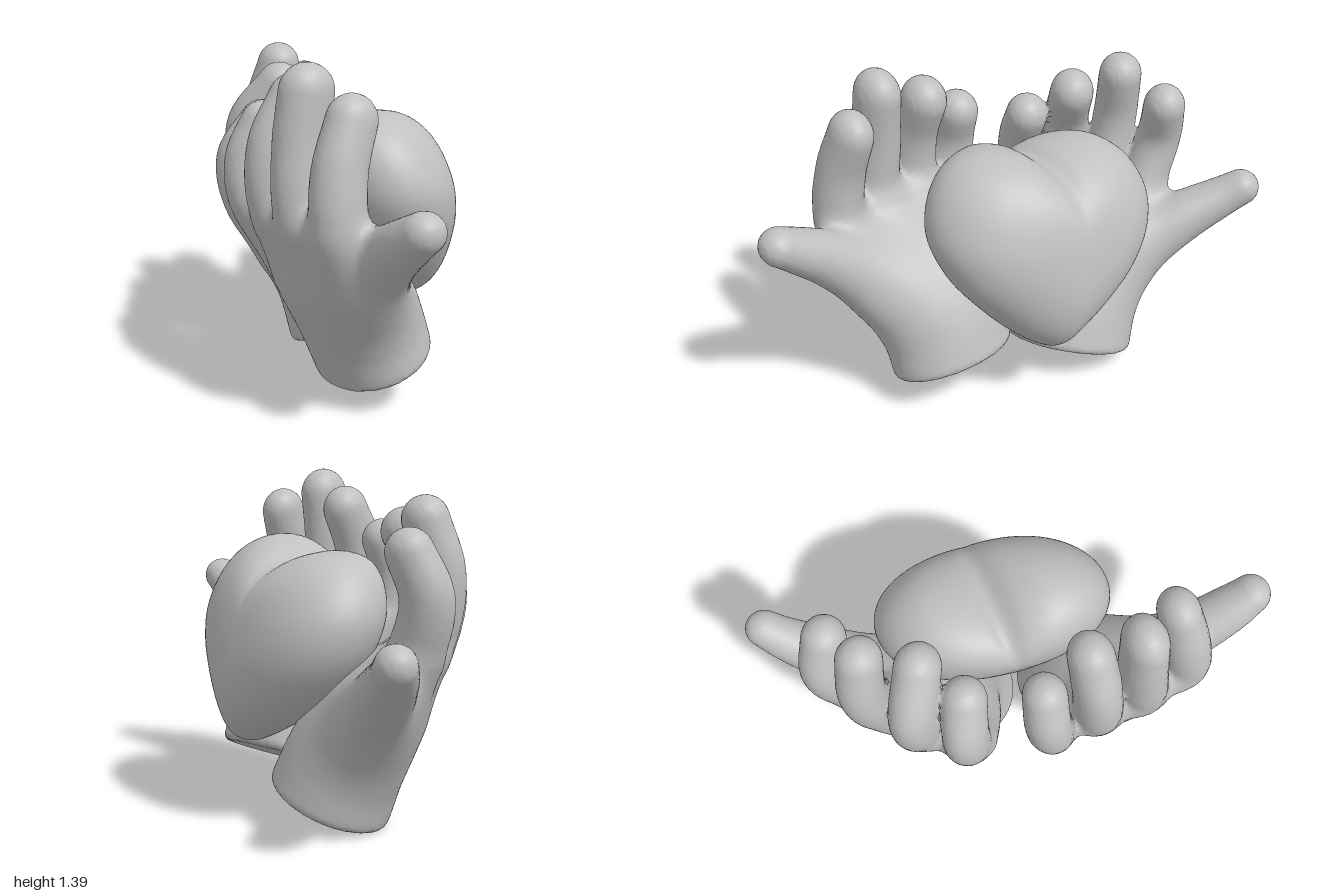
import * as THREE from 'three';

const CELL = 0.015;
const clay = new THREE.MeshStandardMaterial({ color: 0xc0c0c0 });
clay.name = 'clay grey';

function build(name, points, index) {
  const geometry = new THREE.BufferGeometry().setFromPoints(points);
  geometry.setIndex(index);
  geometry.computeVertexNormals();
  const mesh = new THREE.Mesh(geometry, clay);
  mesh.name = name;
  return mesh;
}

// Limb as a distance function: oval sections along a smooth path.
// Stations are [x, y, z, halfWidth, halfDepth]
function limb(stations, across) {
  const path = new THREE.CatmullRomCurve3(stations.map((s) => new THREE.Vector3(s[0], s[1], s[2])));
  const size = new THREE.CatmullRomCurve3(
    stations.map((s) => new THREE.Vector3(s[3], s[4], 0)), false, 'catmullrom', 0.5);
  const count = 18;
  const frames = Array.from({ length: count + 1 }, (_, i) => {
    const along = path.getTangent(i / count);
    const u = across.clone().addScaledVector(along, -across.dot(along)).normalize();
    return { centre: path.getPoint(i / count), along, u, v: along.clone().cross(u), size: size.getPoint(i / count) };
  });
  const steps = frames.slice(1).map((f, i) => f.centre.clone().sub(frames[i].centre));
  const q = new THREE.Vector3(), best = new THREE.Vector3();
  const mix = (a, b, t) => a + (b - a) * t;
  return (p) => {
    // nearest place on the path
    let nearest = Infinity, at = 0, t = 0;
    steps.forEach((step, i) => {
      q.subVectors(p, frames[i].centre);
      const s = Math.min(Math.max(q.dot(step) / step.lengthSq(), 0), 1);
      const gap = q.addScaledVector(step, -s).lengthSq();
      if (gap < nearest) {
        nearest = gap;
        at = i;
        t = s;
        best.copy(q);
      }
    });
    // distance to the oval section there, with a dome past either end
    const f = frames[at], g = frames[at + 1];
    const w = mix(f.size.x, g.size.x, t), d = mix(f.size.y, g.size.y, t);
    const isEnd = at + t === 0 || at + t === count;
    const a = mix(best.dot(f.u), best.dot(g.u), t) / w;
    const b = mix(best.dot(f.v), best.dot(g.v), t) / d;
    const c = isEnd ? mix(best.dot(f.along), best.dot(g.along), t) / d : 0;
    const k0 = Math.sqrt(a * a + b * b + c * c) + 1e-6;
    const k1 = Math.sqrt((a * a) / (w * w) + (b * b + c * c) / (d * d)) + 1e-9;
    return (k0 * (k0 - 1)) / k1;
  };
}

// Union of two distances with a soft fillet of size k
function blend(a, b, k) {
  const h = Math.max(k - Math.abs(a - b), 0) / k;
  return Math.min(a, b) - (h * h * k) / 4;
}

// Smooth mesh of the zero surface of a distance function inside a box
function surface(name, field, box) {
  const n = box.getSize(new THREE.Vector3()).divideScalar(CELL).ceil().addScalar(1).toArray();
  const stride = [1, n[0], n[0] * n[1]];
  const values = new Float32Array(n[0] * n[1] * n[2]);
  const cellPoint = new Int32Array(values.length);
  const at = (i, j, k) => new THREE.Vector3(i, j, k).multiplyScalar(CELL).add(box.min);
  const each = (visit) => {
    let id = 0;
    for (let k = 0; k < n[2]; k++) {
      for (let j = 0; j < n[1]; j++) {
        for (let i = 0; i < n[0]; i++) visit(id++, i, j, k);
      }
    }
  };
  each((id, i, j, k) => { values[id] = field(at(i, j, k)); });

  // one point in every cell that the surface crosses
  const points = [];
  each((id, i, j, k) => {
    if (i === n[0] - 1 || j === n[1] - 1 || k === n[2] - 1) return;
    const sum = [0, 0, 0];
    let hits = 0;
    for (let corner = 0; corner < 8; corner++) {
      const bits = [corner & 1, (corner >> 1) & 1, corner >> 2];
      const here = id + bits[0] + bits[1] * stride[1] + bits[2] * stride[2];
      for (let axis = 0; axis < 3; axis++) {
        if (bits[axis]) continue;
        const a = values[here], b = values[here + stride[axis]];
        if ((a < 0) === (b < 0)) continue;
        for (let m = 0; m < 3; m++) sum[m] += m === axis ? a / (a - b) : bits[m];
        hits++;
      }
    }
    if (!hits) return;
    cellPoint[id] = points.length;
    points.push(at(i + sum[0] / hits, j + sum[1] / hits, k + sum[2] / hits));
  });

  // one quad around every crossed grid edge
  const index = [];
  each((id, ...cell) => {
    for (let axis = 0; axis < 3; axis++) {
      if (cell[axis] === n[axis] - 1) continue;
      const inside = values[id] < 0;
      if (inside === values[id + stride[axis]] < 0) continue;
      const e = stride[(axis + 1) % 3], f = stride[(axis + 2) % 3];
      const [a, b, c, d] = [id - e - f, id - f, id, id - e].map((m) => cellPoint[m]);
      index.push(...(inside ? [a, b, c, a, c, d] : [a, c, b, a, d, c]));
    }
  });
  return build(name, points, index);
}

// Fingers stay apart from each other but melt into the palm; the wrist is cut flat
function hand(name, across, { palm, thumb, fingers }) {
  const palmShape = limb(palm, across);
  const thumbShape = limb(thumb, across);
  const fingerShapes = Object.values(fingers).map((stations) => limb(stations, across));
  const wrist = new THREE.Vector3(...palm[0]);
  const up = new THREE.Vector3(...palm[1]).sub(wrist).normalize();
  const cut = new THREE.Plane().setFromNormalAndCoplanarPoint(up, wrist);
  const field = (p) => {
    const body = blend(palmShape(p), thumbShape(p), 0.1);
    const digits = fingerShapes.map((shape) => shape(p)).reduce((a, b) => blend(a, b, 0.015));
    return -blend(-blend(body, digits, 0.06), cut.distanceToPoint(p), 0.03);
  };
  const box = new THREE.Box3();
  for (const [x, y, z, w, d] of [palm, thumb, ...Object.values(fingers)].flat()) {
    const centre = new THREE.Vector3(x, y, z);
    box.union(new THREE.Box3(centre, centre.clone()).expandByScalar(Math.max(w, d) + 0.05));
  }
  return surface(name, field, box);
}

// Puffed heart: the outline [z, y] shrinks and rounds off towards both faces
function heart() {
  const outline = new THREE.CatmullRomCurve3([
    [-0.07, 1.03], [0.02, 1.09], [0.14, 1.12], [0.28, 1.08], [0.38, 0.98], [0.43, 0.83],
    [0.39, 0.67], [0.30, 0.53], [0.18, 0.39], [0.09, 0.315], [0.05, 0.3], [-0.01, 0.32],
    [-0.2, 0.42], [-0.38, 0.55], [-0.49, 0.7], [-0.515, 0.84], [-0.46, 0.97],
    [-0.36, 1.05], [-0.25, 1.07], [-0.14, 1.055],
  ].map(([z, y]) => new THREE.Vector3(0, y - 0.78, z + 0.04)), true).getPoints(100).slice(0, -1);
  const n = outline.length, rows = 48;
  const points = [], index = [];
  for (let i = 0; i <= rows; i++) {
    const angle = (i / rows - 0.5) * Math.PI;
    const scale = Math.pow(Math.max(Math.cos(angle), 0), 0.78);
    outline.forEach((p, j) => {
      const round = 1 + (0.42 / p.length() - 1) * 0.28 * (1 - scale);
      const y = p.y * scale * round, z = p.z * scale * round;
      // the middle plane leans back and turns a little
      points.push(new THREE.Vector3(0.151 - 0.255 * y - 0.12 * z + 0.288 * Math.sin(angle), 0.78 + y, z - 0.04));
      if (i === rows) return;
      const a = i * n + j, b = i * n + (j + 1) % n;
      index.push(a, b, a + n, b, b + n, a + n);
    });
  }
  return build('heart', points, index);
}

export function createModel() {
  const model = new THREE.Group();
  model.name = 'handsHoldingHeart';

  model.add(hand('frontHand', new THREE.Vector3(0, 0, 1), {
    palm: [
      [-0.035, 0.158, 0.27, 0.27, 0.23], [-0.125, 0.38, 0.28, 0.275, 0.235],
      [-0.255, 0.58, 0.29, 0.34, 0.2], [-0.365, 0.76, 0.27, 0.36, 0.115],
    ],
    thumb: [
      [-0.14, 0.42, 0.4, 0.15, 0.15], [-0.205, 0.59, 0.54, 0.145, 0.13],
      [-0.235, 0.73, 0.7, 0.115, 0.11], [-0.24, 0.83, 0.845, 0.09, 0.095],
      [-0.235, 0.88, 0.92, 0.077, 0.082],
    ],
    fingers: {
      index: [
        [-0.28, 0.6, 0.52, 0.098, 0.11], [-0.36, 0.82, 0.57, 0.1, 0.11],
        [-0.35, 1.02, 0.555, 0.095, 0.105], [-0.29, 1.195, 0.535, 0.082, 0.1],
      ],
      middle: [
        [-0.3, 0.6, 0.36, 0.098, 0.11], [-0.4, 0.84, 0.365, 0.098, 0.11],
        [-0.395, 1.08, 0.35, 0.092, 0.11], [-0.37, 1.275, 0.35, 0.086, 0.108],
      ],
      ring: [
        [-0.3, 0.58, 0.19, 0.098, 0.11], [-0.41, 0.82, 0.17, 0.098, 0.11],
        [-0.405, 1.04, 0.16, 0.092, 0.11], [-0.325, 1.21, 0.16, 0.088, 0.1],
      ],
      little: [
        [-0.28, 0.56, 0.04, 0.095, 0.11], [-0.41, 0.8, -0.025, 0.095, 0.105],
        [-0.415, 0.95, -0.045, 0.09, 0.1], [-0.36, 1.085, -0.035, 0.085, 0.09],
      ],
    },
  }));

  model.add(hand('backHand', new THREE.Vector3(0.7, 0.05, -0.7), {
    palm: [
      [0.126, 0.086, -0.235, 0.275, 0.25], [0.085, 0.3, -0.317, 0.275, 0.235],
      [0, 0.5, -0.41, 0.33, 0.2], [-0.095, 0.67, -0.49, 0.35, 0.115],
    ],
    thumb: [
      [0.13, 0.31, -0.4, 0.15, 0.15], [0.2, 0.47, -0.55, 0.145, 0.14],
      [0.295, 0.59, -0.71, 0.115, 0.115], [0.395, 0.685, -0.855, 0.088, 0.09],
      [0.452, 0.737, -0.922, 0.077, 0.077],
    ],
    fingers: {
      index: [
        [0.12, 0.54, -0.57, 0.095, 0.11], [0.11, 0.76, -0.7, 0.098, 0.105],
        [0.125, 0.93, -0.75, 0.093, 0.1], [0.175, 1.09, -0.71, 0.086, 0.09],
      ],
      middle: [
        [0.02, 0.52, -0.48, 0.095, 0.11], [-0.045, 0.78, -0.61, 0.096, 0.105],
        [-0.045, 1.0, -0.65, 0.092, 0.1], [0.0, 1.2, -0.62, 0.088, 0.09],
      ],
      ring: [
        [-0.07, 0.5, -0.39, 0.095, 0.11], [-0.185, 0.75, -0.49, 0.097, 0.105],
        [-0.195, 0.96, -0.505, 0.094, 0.105], [-0.09, 1.145, -0.43, 0.09, 0.095],
      ],
      little: [
        [-0.15, 0.46, -0.27, 0.095, 0.11], [-0.305, 0.7, -0.33, 0.094, 0.1],
        [-0.32, 0.87, -0.345, 0.09, 0.1], [-0.235, 1.025, -0.31, 0.088, 0.09],
      ],
    },
  }));

  model.add(heart());
  return model;
}
